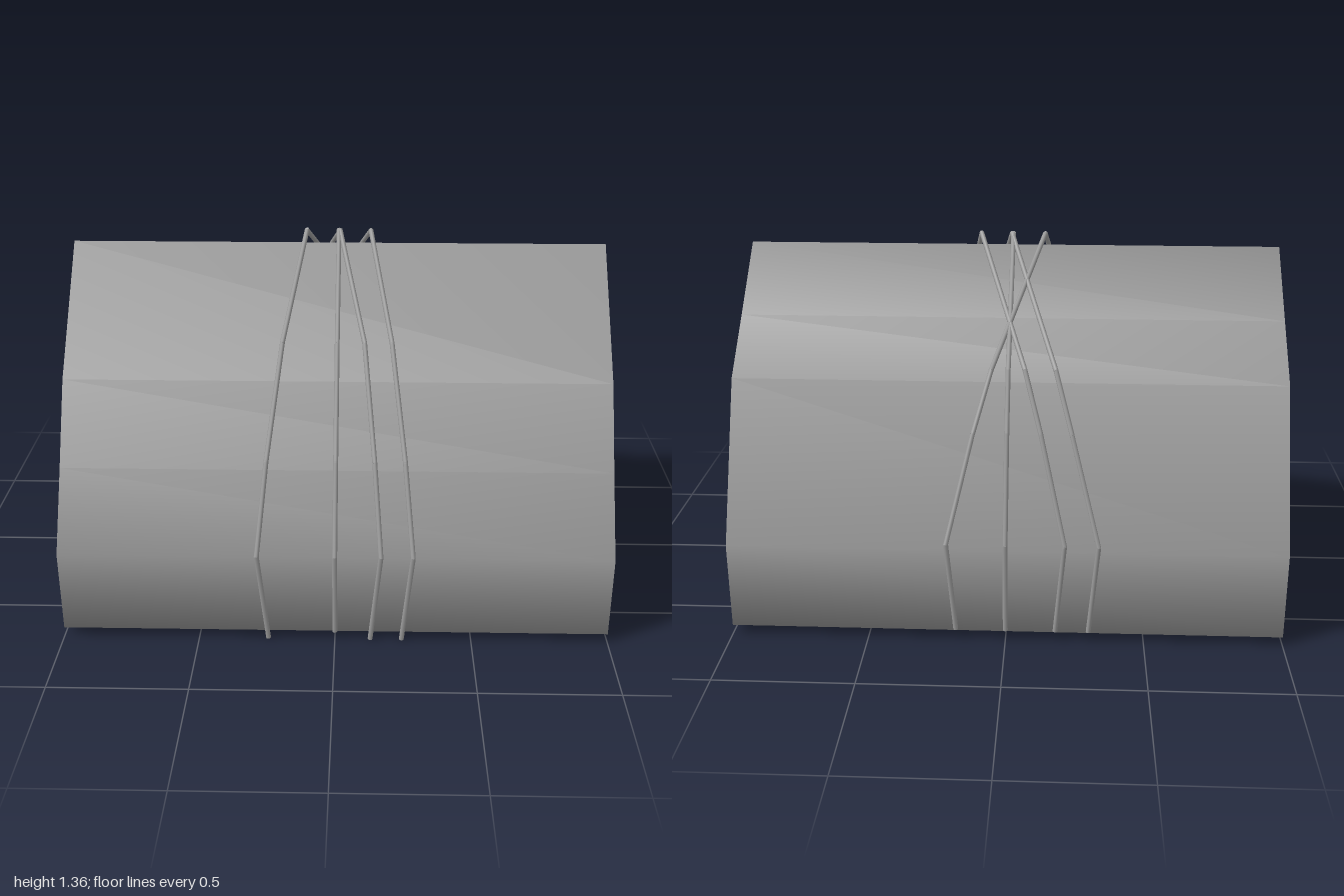
import * as THREE from 'three';
import { mergeGeometries } from 'three/addons/utils/BufferGeometryUtils.js';

// Corner points shared by every row of the end panels: [z, y, depth]
const START = [0.69, 0.04, 0];
const END = [-0.24, 1.09, 0];

// Rows running from the front rim, over hollow, ridge and hollow, to the back rim
const ROWS = [
  [[0.69, 0.35, 0], [0.53, 0.62, 0], [0.37, 0.9, 0], [0, 1.31, 0]],
  [[0.5, 0.14, 0.1], [0.46, 0.4, 0.12], [0.42, 0.67, 0.06], [0, 1.2, 0.05]],
  [[0.33, 0.1, 0.01], [0.33, 0.35, 0.01], [0.33, 0.63, 0.01], [-0.03, 1.13, 0.01]],
  [[0.2, 0.13, 0.01], [0.06, 0.37, 0.01], [-0.34, 0.62, 0.01], [-0.3, 0.9, 0.01]],
  [[0.08, 0.09, 0.05], [-0.1, 0.25, 0.13], [-0.46, 0.52, 0.12], [-0.42, 0.83, 0.05]],
  [[0, 0.04, 0], [-0.69, 0.04, 0], [-0.69, 0.36, 0], [-0.44, 0.91, 0]],
];

// Smooth prism with a gently dented panel at each end
function bundleGeometry() {
  const pos = [], index = [];
  const perEnd = 2 + ROWS.length * 4;
  for (const side of [1, -1]) {
    for (const [z, y, depth] of [START, END, ...ROWS.flat()]) pos.push(side * (1 - depth), y, z);
  }
  const id = (row, k) => (k === 0 ? 0 : k === 5 ? 1 : 2 + row * 4 + k - 1);

  const tri = (a, b, c) => {
    if (a === b || b === c || a === c) return;
    index.push(a, b, c, a + perEnd, c + perEnd, b + perEnd);
  };
  for (let r = 0; r < ROWS.length - 1; r++) {
    for (let k = 0; k < 5; k++) {
      const a = id(r, k), b = id(r + 1, k), c = id(r + 1, k + 1), d = id(r, k + 1);
      tri(a, b, c);
      tri(a, c, d);
    }
  }

  // Long walls joining the two rims
  const last = ROWS.length - 1;
  const rim = [0, 1, 2, 3, 4, 5].map(k => id(0, k)).concat([4, 3, 2, 1].map(k => id(last, k)));
  rim.forEach((p, i) => {
    const q = rim[(i + 1) % rim.length];
    index.push(p, q, q + perEnd, p, q + perEnd, p + perEnd);
  });

  const geo = new THREE.BufferGeometry();
  geo.setAttribute('position', new THREE.Float32BufferAttribute(pos, 3));
  geo.setIndex(index);
  geo.computeVertexNormals();
  return geo;
}

// Cord made of straight round rods between path points
function cordGeometry(points, radius) {
  const rods = [];
  const up = new THREE.Vector3(0, 1, 0);
  for (let i = 0; i < points.length - 1; i++) {
    const dir = points[i + 1].clone().sub(points[i]);
    const rod = new THREE.CylinderGeometry(radius, radius, dir.length() + radius * 0.6, 8);
    rod.applyQuaternion(new THREE.Quaternion().setFromUnitVectors(up, dir.clone().normalize()));
    const mid = points[i].clone().add(points[i + 1]).multiplyScalar(0.5);
    rod.translate(mid.x, mid.y, mid.z);
    rods.push(rod);
  }
  return mergeGeometries(rods);
}

export function createModel() {
  const group = new THREE.Group();
  const grey = new THREE.MeshStandardMaterial({ color: 0x999999 });
  grey.name = 'grey';

  const bundle = new THREE.Mesh(bundleGeometry(), grey);
  bundle.name = 'bundle';
  group.add(bundle);

  // Cord path over the bundle as [z, y], with each cord's own x positions
  const path = [[0.69, 0.01], [0.7, 0.36], [0.54, 0.66], [0.29, 1.02], [-0.01, 1.355],
    [-0.45, 0.96], [-0.56, 0.76], [-0.7, 0.39], [-0.695, 0.05]];
  const outer = [0.245, 0.28, 0.25, 0.2, 0.12, -0.06, -0.12, -0.21, -0.18];
  const cords = {
    leftCord: outer,
    rightCord: outer.map(x => -x),
    slantedCord: [0.13, 0.165, 0.14, 0.1, 0.005, -0.17, -0.23, -0.33, -0.3],
    middleCord: outer.map(() => 0),
  };
  for (const [name, xs] of Object.entries(cords)) {
    const points = path.map(([z, y], i) => new THREE.Vector3(xs[i], y, z));
    if (name === 'middleCord') points[0].y = 0.04;
    const cord = new THREE.Mesh(cordGeometry(points, 0.009), grey);
    cord.name = name;
    group.add(cord);
  }
  return group;
}
